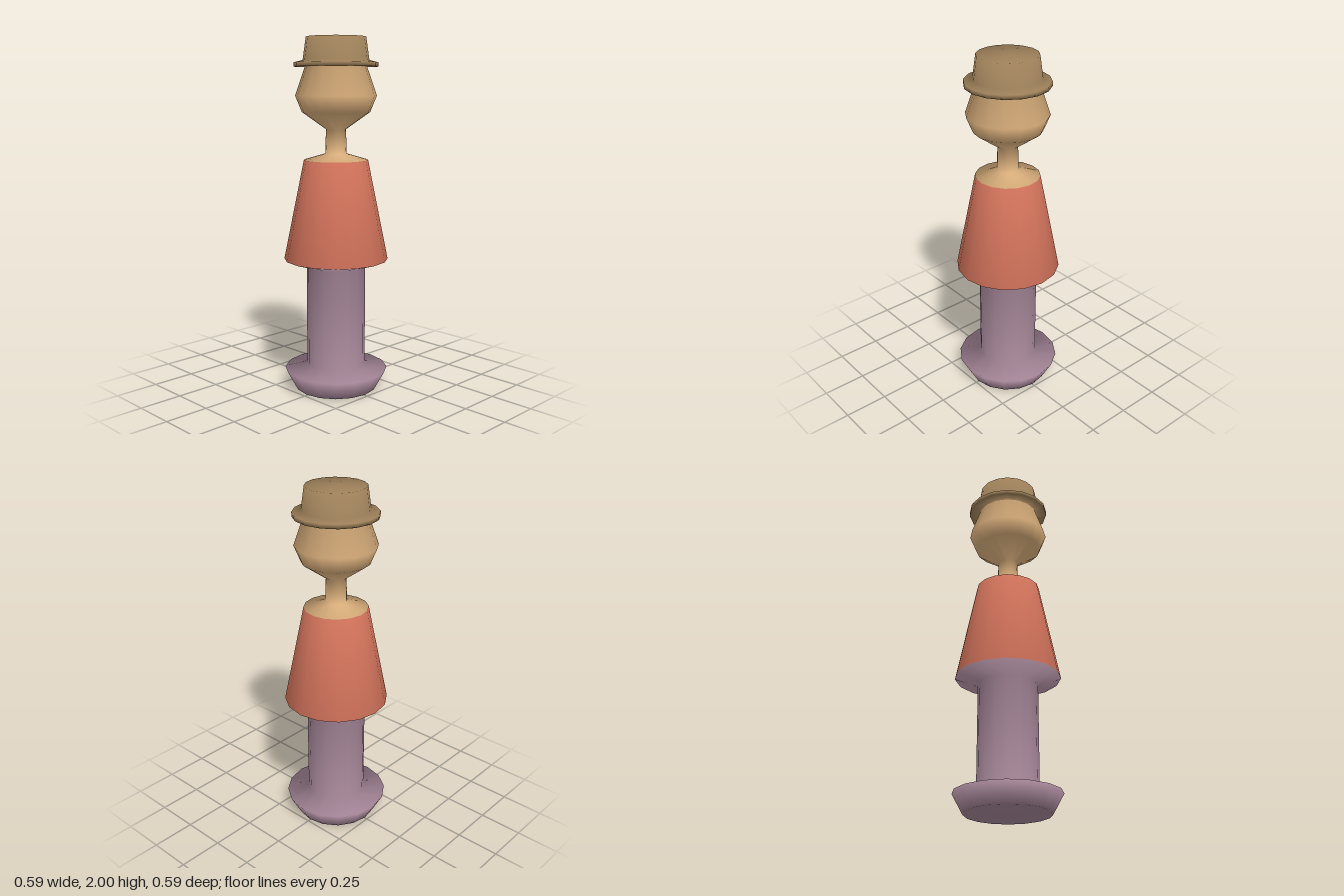
import * as THREE from 'three';

const SIDES = 16;

const legPaint = new THREE.MeshStandardMaterial({ name: 'mauve', color: 0xa68799 });
const coatPaint = new THREE.MeshStandardMaterial({ name: 'brickRed', color: 0xd4745c });
const skinPaint = new THREE.MeshStandardMaterial({ name: 'skinTan', color: 0xd9ae7b });
const hatPaint = new THREE.MeshStandardMaterial({ name: 'hatBrown', color: 0x9b7e58 });

// Each part continues the turned profile [radius, height] from the end of the one below.
const parts = [
  ['legsAndBase', legPaint, [[0, 0], [0.235, 0.005], [0.295, 0.115], [0.167, 0.147], [0.167, 0.72], [0.295, 0.76]]],
  ['coat', coatPaint, [[0.18, 1.325]]],
  ['headAndNeck', skinPaint, [[0.06, 1.36], [0.056, 1.495], [0.19, 1.59], [0.227, 1.68], [0.172, 1.838]]],
  ['hat', hatPaint, [[0.233, 1.838], [0.233, 1.862], [0.184, 1.874], [0.166, 2], [0, 2]]],
];

export function createModel() {
  const group = new THREE.Group();
  group.name = 'turnedFigure';

  // One smooth turning, so that shading flows across the colour borders
  const profile = parts.flatMap((p) => p[2]).map(([r, y]) => new THREE.Vector2(r, y));
  const turned = new THREE.LatheGeometry(profile, SIDES);
  const bands = profile.length - 1;
  const index = turned.getIndex().array;

  // Each coloured part keeps its own bands of the turning
  let start = 0;
  let count = -1;
  for (const [name, material, points] of parts) {
    count += points.length;
    const picked = [];
    for (let side = 0; side < SIDES; side++) {
      const first = side * bands * 6;
      picked.push(...index.slice(first + start * 6, first + count * 6));
    }
    const geometry = turned.clone();
    geometry.setIndex(picked);
    const mesh = new THREE.Mesh(geometry, material);
    mesh.name = name;
    group.add(mesh);
    start = count;
  }
  return group;
}
